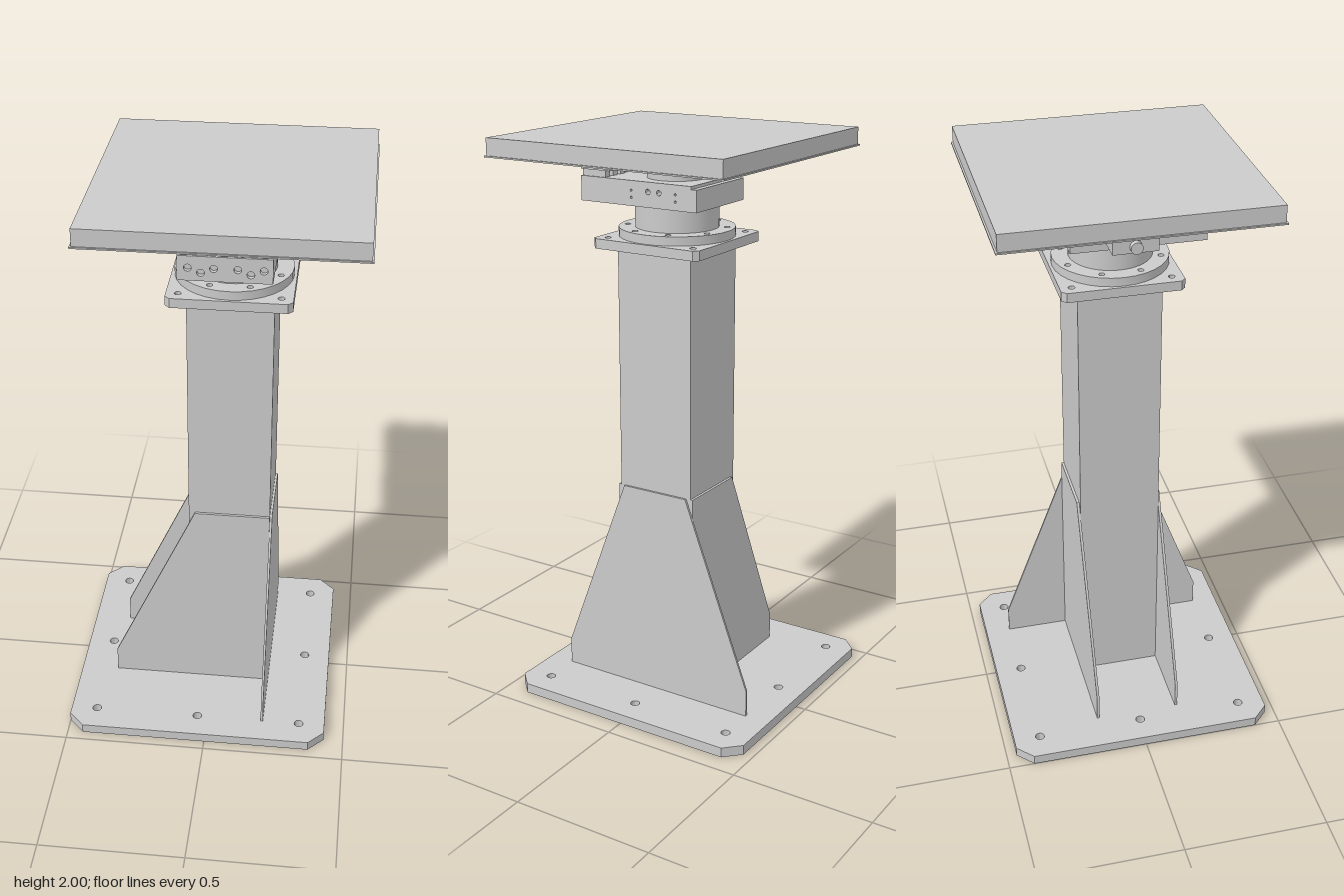
import * as THREE from 'three';
import { toCreasedNormals } from 'three/addons/utils/BufferGeometryUtils.js';

const material = new THREE.MeshStandardMaterial({ color: 0xcccccc });
const AXIS = 0.055; // x of the column centre line

function add(group, name, geometry) {
  const mesh = new THREE.Mesh(geometry, material);
  mesh.name = name;
  group.add(mesh);
  return mesh;
}

// Box given by its limits on each axis
function box(group, name, [x0, x1], [y0, y1], [z0, z1]) {
  const g = new THREE.BoxGeometry(x1 - x0, y1 - y0, z1 - z0);
  g.translate((x0 + x1) / 2, (y0 + y1) / 2, (z0 + z1) / 2);
  return add(group, name, g);
}

function cylinder(group, name, rTop, rBottom, y0, y1, x = AXIS, z = 0) {
  const g = new THREE.CylinderGeometry(rTop, rBottom, y1 - y0, 48);
  return add(group, name, g.translate(x, (y0 + y1) / 2, z));
}

const outline = (points) => new THREE.Shape(points.map(([x, y]) => new THREE.Vector2(x, y)));

function drill(shape, centres, radius) {
  for (const [x, y] of centres) {
    shape.holes.push(new THREE.Path().absarc(x, y, radius, 0, Math.PI * 2, true));
  }
  return shape;
}

// Rectangle with its four corners cut by c
function cutRect(x0, x1, h, c) {
  return outline([
    [x0 + c, -h], [x1 - c, -h], [x1, -h + c], [x1, h - c],
    [x1 - c, h], [x0 + c, h], [x0, h - c], [x0, -h + c],
  ]);
}

// Extrude a shape from a to b along x (shape u = -z), y (shape v = -z) or z
function extrude(shape, axis, a, b) {
  let g = new THREE.ExtrudeGeometry(shape, { depth: b - a, bevelEnabled: false, curveSegments: 16 });
  g.translate(0, 0, a);
  if (axis === 'x') g.rotateY(Math.PI / 2);
  if (axis === 'y') g.rotateX(-Math.PI / 2);
  return toCreasedNormals(g, 0.6);
}

function buildStand(group) {
  // Floor plate with eight anchor holes
  const anchors = [];
  for (const i of [-1, 0, 1]) {
    for (const j of [-1, 0, 1]) if (i || j) anchors.push([-0.035 + 0.372 * i, 0.372 * j]);
  }
  add(group, 'basePlate', extrude(drill(cutRect(-0.5, 0.43, 0.465, 0.055), anchors, 0.016), 'y', 0, 0.035));

  // Square column
  box(group, 'column', [-0.087, 0.198], [0.035, 1.63], [-0.142, 0.142]);

  // Gussets: a symmetrical one on the +x face, half-tapered ones front and back
  const wide = outline([[-0.375, 0.035], [0.375, 0.035], [0.375, 0.13], [0.125, 0.79], [-0.125, 0.79], [-0.375, 0.13]]);
  add(group, 'sideGusset', extrude(wide, 'x', 0.198, 0.206));
  const half = outline([[-0.365, 0.035], [0.198, 0.035], [0.198, 0.79], [-0.065, 0.79], [-0.365, 0.13]]);
  add(group, 'frontGusset', extrude(half, 'z', 0.142, 0.151));
  add(group, 'backGusset', extrude(half, 'z', -0.151, -0.142));
}

function buildFlange(group) {
  // Square cap plate with corner holes
  const corners = [];
  for (const i of [-1, 1]) for (const j of [-1, 1]) corners.push([AXIS + 0.165 * i, 0.165 * j]);
  const cap = drill(cutRect(AXIS - 0.204, AXIS + 0.204, 0.204, 0.016), corners, 0.011);
  add(group, 'capPlate', extrude(cap, 'y', 1.63, 1.663));

  // Round flange with a ring of bolt holes
  const ring = Array.from({ length: 8 }, (_, i) => {
    const a = (i + 0.5) * Math.PI / 4;
    return [AXIS + 0.168 * Math.cos(a), 0.168 * Math.sin(a)];
  });
  const disc = new THREE.Shape().absarc(AXIS, 0, 0.195, 0, Math.PI * 2, false);
  add(group, 'roundFlange', extrude(drill(disc, ring, 0.01), 'y', 1.663, 1.693));
  cylinder(group, 'neck', 0.14, 0.14, 1.693, 1.772);
}

function buildStage(group) {
  const width = [-0.095, 0.2];

  // Lower body, stepped at the back, with cross holes
  const lower = outline([[-0.27, 1.772], [0.165, 1.772], [0.165, 1.845], [0.145, 1.845], [0.145, 1.855], [-0.27, 1.855]]);
  drill(lower, [[-0.02, 1.823], [0.022, 1.823]], 0.009);
  drill(lower, [[-0.085, 1.823], [0.085, 1.823], [-0.085, 1.8], [0.085, 1.8]], 0.004);
  add(group, 'lowerBody', extrude(lower, 'x', ...width));

  // Upper clamp block carrying the front of the table
  const upper = outline([[-0.27, 1.877], [-0.17, 1.877], [-0.17, 1.905], [-0.15, 1.905], [-0.15, 1.94], [-0.27, 1.94]]);
  add(group, 'upperBlock', extrude(upper, 'x', ...width));

  // Drilled front faces of both blocks
  const holeX = [-0.062, -0.022, 0.018, 0.092, 0.132, 0.172];
  const face = (y0, y1, yc, flip) => drill(
    outline([[width[0], y0], [width[1], y0], [width[1], y1], [width[0], y1]]),
    holeX.map((x, i) => [x, yc + ([0, 1, 0, 0, 1, 0][i] ? 0.009 : -0.006) * flip]), 0.012);
  add(group, 'lowerFace', extrude(face(1.772, 1.855, 1.809, -1), 'z', 0.27, 0.285));
  add(group, 'upperFace', extrude(face(1.877, 1.94, 1.903, 1), 'z', 0.27, 0.285));

  // Spacers in the slot between the blocks
  for (let i = 0; i < 7; i++) {
    const x = -0.09 + i * 0.043;
    box(group, 'slotSpacer', [x, x + 0.027], [1.855, 1.877], [0.19, 0.28]);
  }

  // Round hub with small screws around it
  cylinder(group, 'hub', 0.1, 0.1, 1.855, 1.91);
  cylinder(group, 'hubTop', 0.085, 0.1, 1.91, 1.93);
  for (let i = 0; i < 8; i++) {
    const a = (i + 0.5) * Math.PI / 4;
    const g = new THREE.CylinderGeometry(0.012, 0.012, 0.01, 16).rotateZ(Math.PI / 2);
    const screw = add(group, 'hubScrew', g);
    screw.position.set(AXIS + 0.099 * Math.cos(a), 1.895, 0.099 * Math.sin(a));
    screw.rotation.y = -a;
  }

  // Drive unit on the -x side
  box(group, 'driveBody', [-0.187, -0.095], [1.797, 1.877], [-0.05, 0.1]);
  box(group, 'driveLid', [-0.165, -0.105], [1.877, 1.887], [-0.03, 0.08]);
  const knob = new THREE.CylinderGeometry(0.02, 0.02, 0.02, 24).rotateZ(Math.PI / 2);
  add(group, 'driveConnector', knob).position.set(-0.195, 1.82, 0.025);
}

function buildTable(group) {
  // Table top with a thin lip at its lower edge
  box(group, 'tableLip', [-0.39, 0.5], [1.938, 1.943], [-0.445, 0.445]);
  box(group, 'tableTop', [-0.384, 0.495], [1.943, 2], [-0.439, 0.439]);
}

export function createModel() {
  const model = new THREE.Group();
  model.name = 'pedestalTable';
  const parts = { stand: buildStand, flange: buildFlange, rotaryStage: buildStage, table: buildTable };
  for (const [name, build] of Object.entries(parts)) {
    const group = new THREE.Group();
    group.name = name;
    build(group);
    model.add(group);
  }
  return model;
}
